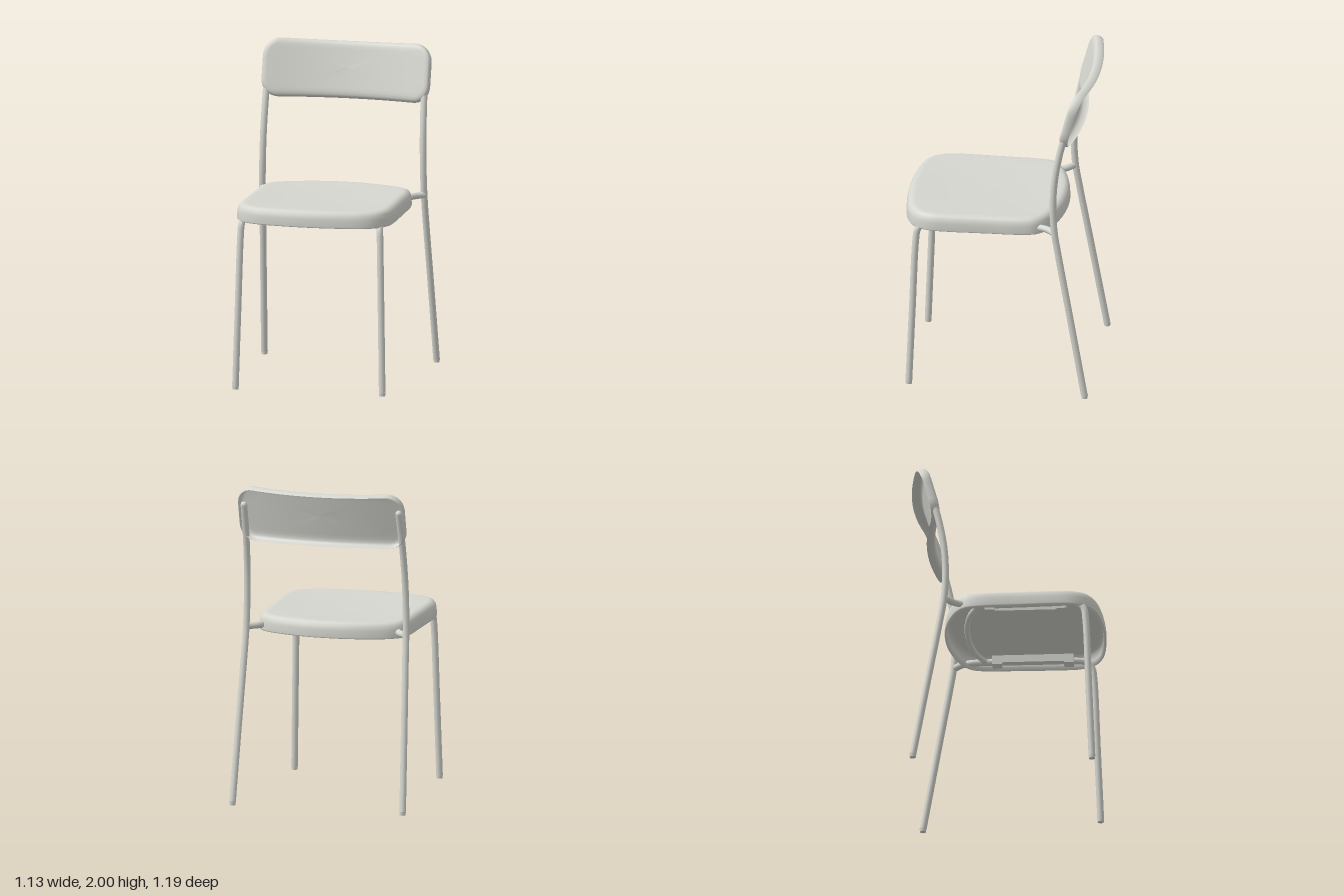
import * as THREE from 'three';

const V = (x, y, z) => new THREE.Vector3(x, y, z);

// Thin pressed shell: rings offset inward from an outline, then filled to its centre.
// profile holds [inset, depth] pairs from the lip to the face; place() maps (u, v, depth) to space.
function shell(outline, profile, place) {
  const n = outline.length;
  const offset = (inset) => outline.map((p, i) => {
    const t = outline[(i + 1) % n].clone().sub(outline[(i + n - 1) % n]).normalize();
    return new THREE.Vector2(p.x - t.y * inset, p.y + t.x * inset);
  });
  const rings = profile.map(([inset, depth]) => offset(inset).map((p) => place(p.x, p.y, depth)));
  const [lastInset, lastDepth] = profile[profile.length - 1];
  for (const s of [0.85, 0.65, 0.45, 0.25, 0.001]) {
    rings.push(offset(lastInset).map((p) => place(p.x * s, p.y * s, lastDepth)));
  }
  const pos = [], index = [];
  rings.forEach((ring) => ring.forEach((p) => pos.push(p.x, p.y, p.z)));
  for (let r = 0; r < rings.length - 1; r++) {
    for (let i = 0; i < n; i++) {
      const a = r * n + i, b = r * n + (i + 1) % n;
      index.push(a, b, b + n, a, b + n, a + n);
    }
  }
  const g = new THREE.BufferGeometry();
  g.setAttribute('position', new THREE.Float32BufferAttribute(pos, 3));
  g.setIndex(index);
  g.computeVertexNormals();
  return g;
}

// Counter-clockwise outline from half-profile points (right side, bottom to top of the v axis)
function mirroredOutline(half, count) {
  const left = half.slice(1, -1).reverse().map(([x, y]) => [-x, y]);
  const curve = new THREE.CatmullRomCurve3([...half, ...left].map(([x, y]) => V(x, y, 0)), true);
  const pts = curve.getSpacedPoints(count).slice(0, count);
  return pts.map((p) => new THREE.Vector2(p.x, p.y));
}

function roundedRect(w, h, r, count) {
  const s = new THREE.Shape();
  s.moveTo(-w + r, -h);
  s.lineTo(w - r, -h).absarc(w - r, -h + r, r, -Math.PI / 2, 0);
  s.absarc(w - r, h - r, r, 0, Math.PI / 2);
  s.absarc(-w + r, h - r, r, Math.PI / 2, Math.PI);
  s.absarc(-w + r, -h + r, r, Math.PI, Math.PI * 1.5);
  return s.getSpacedPoints(count).slice(0, count);
}

const tube = (points, r, segments = 64) =>
  new THREE.TubeGeometry(new THREE.CatmullRomCurve3(points), segments, r, 12);

export function createModel() {
  const model = new THREE.Group();
  model.name = 'chair';
  const paint = new THREE.MeshStandardMaterial({ color: 0xd6d6d0, side: THREE.DoubleSide });
  paint.name = 'light grey paint';
  const add = (name, geometry, x = 0, y = 0, z = 0) => {
    const m = new THREE.Mesh(geometry, paint);
    m.name = name;
    m.position.set(x, y, z);
    model.add(m);
    return m;
  };

  // Seat: bowed front and back edges, rounded rim and a folded inner lip
  const seatOutline = mirroredOutline([
    [0, -0.4], [0.14, -0.391], [0.28, -0.36], [0.4, -0.31], [0.458, -0.255], [0.478, -0.17],
    [0.485, 0.05], [0.49, 0.32], [0.482, 0.41], [0.44, 0.495], [0.35, 0.55], [0.18, 0.582], [0, 0.592],
  ], 96);
  add('seat', shell(seatOutline, [
    [0.02, 0.08], [0.015, 0.102], [0.004, 0.102], [0, 0.095], [0.002, 0.05],
    [0.008, 0.025], [0.02, 0.009], [0.038, 0.001], [0.06, 0],
  ], (x, z, d) => {
    const k = Math.max(0, 1 - (x / 0.44) ** 2) * Math.max(0, 1 - ((z - 0.09) / 0.45) ** 2);
    return V(x, 1.146 - d - 0.012 * k, z);
  }));

  // Backrest: curved, leaning panel with a flange turned to the rear
  add('backrest', shell(roundedRect(0.53, 0.175, 0.105, 120), [
    [0.006, 0.058], [0, 0.045], [0, 0.025], [0.005, 0.011], [0.016, 0.003], [0.035, 0],
  ], (x, v, d) => {
    const dip = v > 0 ? 0.012 * (v / 0.175) * Math.max(0, 1 - (x / 0.45) ** 2) : 0;
    const y = 1.829 + v - dip;
    return V(x, y - 0.3 * d, -0.45 - 0.28 * (y - 1.66) + 0.07 * (x / 0.53) ** 2 - d);
  }));

  // Underside panel
  add('underPanel', new THREE.BoxGeometry(0.74, 0.015, 0.72), 0, 1.105, 0.1);

  // Rear cross tube, under the seat
  add('rearCrossTube', tube([
    V(-0.42, 1.075, -0.17), V(-0.25, 1.075, -0.235), V(0, 1.075, -0.26),
    V(0.25, 1.075, -0.235), V(0.42, 1.075, -0.17),
  ], 0.017, 24));

  for (const s of [1, -1]) {
    const side = s > 0 ? 'left' : 'right';

    // Front leg bends into the side rail, then runs out to the rear leg
    add(side + 'FrontLegAndRail', tube([
      V(0.463 * s, 0.018, 0.531), V(0.4515 * s, 0.5, 0.511), V(0.44 * s, 0.96, 0.491),
      V(0.436 * s, 1.03, 0.48), V(0.43 * s, 1.068, 0.445), V(0.425 * s, 1.077, 0.38),
      V(0.42 * s, 1.077, 0.1), V(0.418 * s, 1.077, -0.18), V(0.43 * s, 1.08, -0.265),
      V(0.46 * s, 1.083, -0.325), V(0.51 * s, 1.085, -0.37),
    ], 0.021, 96));

    // Rear leg continues up into the backrest post
    add(side + 'RearLeg', tube([
      V(0.543 * s, 0.018, -0.565), V(0.528 * s, 0.5, -0.479), V(0.513 * s, 0.96, -0.396),
      V(0.51 * s, 1.09, -0.375), V(0.507 * s, 1.25, -0.366), V(0.503 * s, 1.45, -0.378),
      V(0.498 * s, 1.68, -0.423), V(0.494 * s, 1.87, -0.483),
    ], 0.021));
    add(side + 'PostCap', new THREE.SphereGeometry(0.021, 12, 8), 0.494 * s, 1.87, -0.483);

    // Feet
    const foot = new THREE.CylinderGeometry(0.021, 0.019, 0.024, 12);
    add(side + 'FrontFoot', foot, 0.463 * s, 0.012, 0.531);
    add(side + 'RearFoot', foot, 0.543 * s, 0.012, -0.566);

    // Bracket joining the rail to the underside panel
    add(side + 'RailBracket', new THREE.BoxGeometry(0.03, 0.05, 0.5), 0.375 * s, 1.075, 0.12);
    for (const z of [-0.1, 0.34]) {
      add(side + 'BracketTab', new THREE.BoxGeometry(0.07, 0.014, 0.06), 0.395 * s, 1.047, z);
    }
  }
  return model;
}
